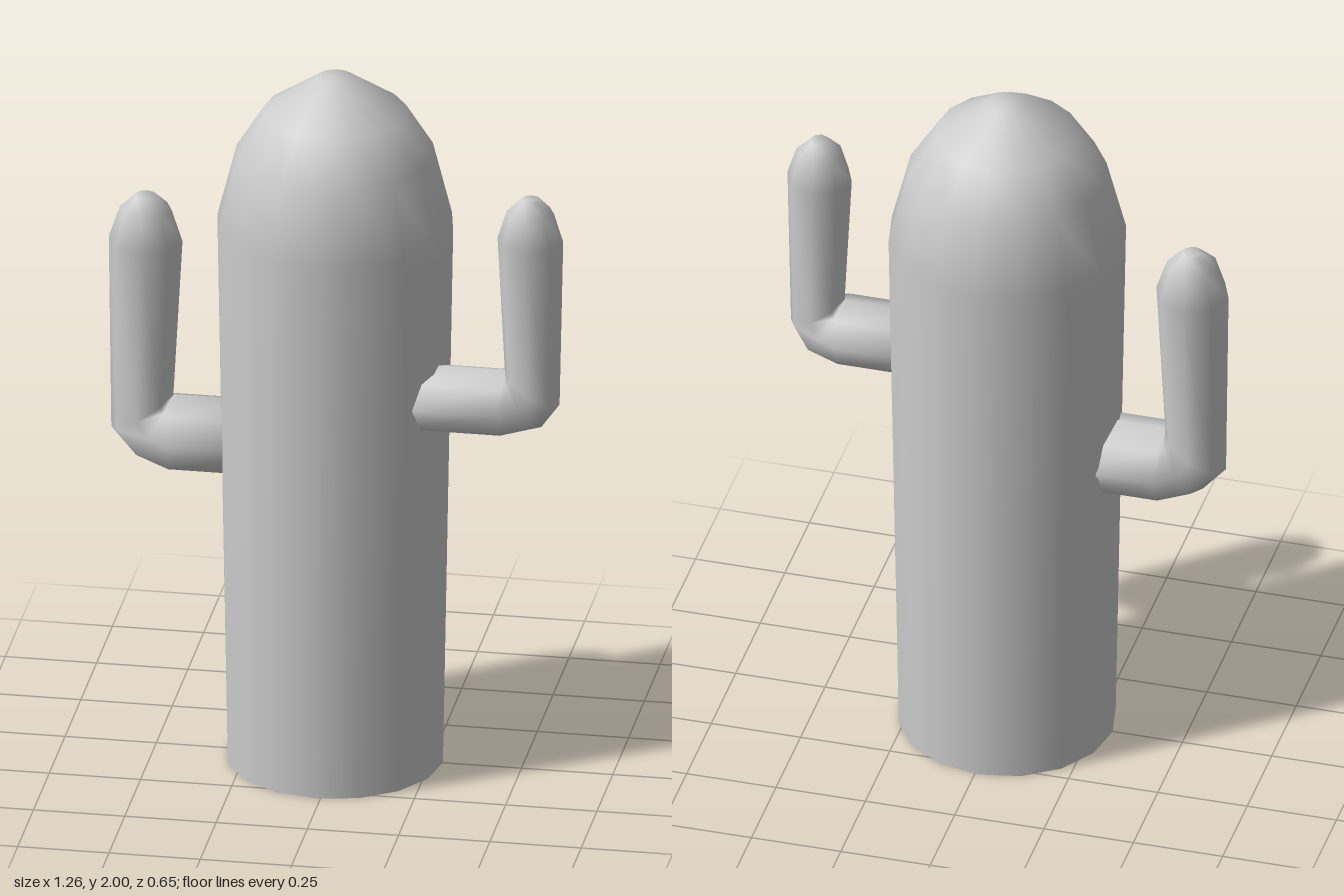
import * as THREE from 'three';

const SIDES = 8;

// Smooth tube through oval rings: [innerX, innerY, outerX, outerY, half depth].
// side = 1 for the arm at +x, -1 for the arm at -x.
function armGeometry(rings, side, z) {
  const pos = [], index = [];
  for (const [ix, iy, ox, oy, depth] of rings) {
    for (let j = 0; j < SIDES; j++) {
      const a = (j / SIDES) * Math.PI * 2;
      const c = Math.cos(a) / 2;
      pos.push(
        side * ((ix + ox) / 2 + (ox - ix) * c),
        (iy + oy) / 2 + (oy - iy) * c,
        z - side * depth * Math.sin(a)
      );
    }
  }
  for (let i = 0; i < rings.length - 1; i++) {
    for (let j = 0; j < SIDES; j++) {
      const k = (j + 1) % SIDES;
      const a = i * SIDES + j, b = i * SIDES + k;
      index.push(a, b, a + SIDES, b, b + SIDES, a + SIDES);
    }
  }
  // Close both ends with a fan
  const last = (rings.length - 1) * SIDES;
  for (let j = 1; j < SIDES - 1; j++) {
    index.push(0, j + 1, j, last, last + j, last + j + 1);
  }
  const g = new THREE.BufferGeometry();
  g.setAttribute('position', new THREE.Float32BufferAttribute(pos, 3));
  g.setIndex(index);
  g.computeVertexNormals();
  return g;
}

export function createModel() {
  const group = new THREE.Group();
  const material = new THREE.MeshStandardMaterial({ color: 0xcccccc });
  const add = (name, geometry) => {
    const mesh = new THREE.Mesh(geometry, material);
    mesh.name = name;
    group.add(mesh);
    return mesh;
  };

  // Trunk widening upwards to a domed top
  const profile = [[0.295, 0], [0.323, 1.57], [0.27, 1.78], [0.195, 1.9], [0.05, 2], [0, 2]]
    .map(([r, y]) => new THREE.Vector2(r, y));
  add('trunk', new THREE.LatheGeometry(profile, 16)).position.x = -0.01;

  // Flat underside
  const base = add('trunkBase', new THREE.CircleGeometry(0.295, 16));
  base.rotation.x = Math.PI / 2;
  base.position.x = -0.01;

  // Higher arm: stub, pinched elbow, upright, rounded tip
  add('leftArm', armGeometry([
    [0.2, 1.21, 0.2, 1.02, 0.102],
    [0.47, 1.21, 0.47, 1.02, 0.102],
    [0.47, 1.21, 0.57, 1.05, 0.09],
    [0.47, 1.21, 0.62, 1.12, 0.07],
    [0.45, 1.6, 0.63, 1.6, 0.088],
    [0.475, 1.68, 0.605, 1.68, 0.063],
    [0.515, 1.72, 0.565, 1.72, 0.025],
  ], 1, 0.09));

  // Lower arm, slightly thicker
  add('rightArm', armGeometry([
    [0.2, 1.025, 0.2, 0.81, 0.118],
    [0.455, 1.025, 0.455, 0.81, 0.118],
    [0.455, 1.025, 0.56, 0.845, 0.1],
    [0.455, 1.025, 0.625, 0.92, 0.08],
    [0.43, 1.48, 0.632, 1.48, 0.1],
    [0.46, 1.57, 0.602, 1.57, 0.07],
    [0.503, 1.61, 0.56, 1.61, 0.028],
  ], -1, -0.01));

  return group;
}
